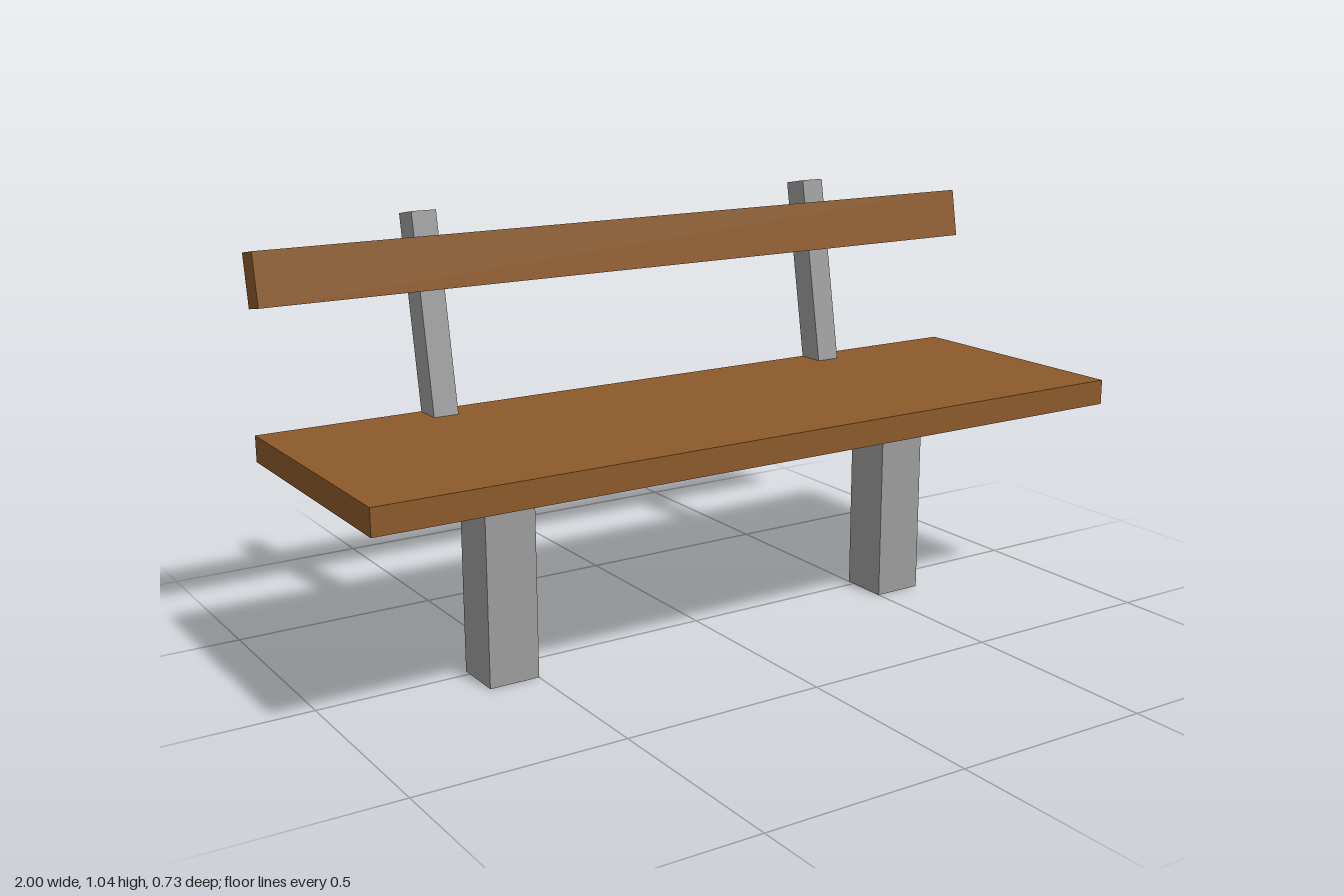
import * as THREE from 'three';

export function createModel() {
  const bench = new THREE.Group();
  bench.name = 'bench';

  const wood = new THREE.MeshStandardMaterial({ color: 0x8b5a2b });
  wood.name = 'brown wood';
  const metal = new THREE.MeshStandardMaterial({ color: 0x9c9c9c });
  metal.name = 'grey supports';

  const addBox = (name, parent, material, size, position) => {
    const mesh = new THREE.Mesh(new THREE.BoxGeometry(...size), material);
    mesh.name = name;
    mesh.position.set(...position);
    parent.add(mesh);
    return mesh;
  };

  // Seat plank
  addBox('seat', bench, wood, [2, 0.0625, 0.652], [0, 0.531, 0.041]);

  // Backrest leans back ten degrees; its origin is the top centre of the posts
  const backrest = new THREE.Group();
  backrest.name = 'backrest';
  backrest.position.set(0, 1.031, -0.33);
  backrest.rotation.x = THREE.MathUtils.degToRad(-10);
  bench.add(backrest);
  addBox('backRail', backrest, wood, [2, 0.125, 0.0635], [0, -0.123, 0.0595]);

  // Leg and back post on each side
  for (const [side, s] of [['left', 1], ['right', -1]]) {
    addBox(`${side}Leg`, bench, metal, [0.125, 0.5, 0.125], [s * 0.5625, 0.25, 0.0425]);
    addBox(`${side}BackPost`, backrest, metal, [0.0625, 0.5, 0.071], [s * 0.5625, -0.25, 0]);
  }

  return bench;
}
